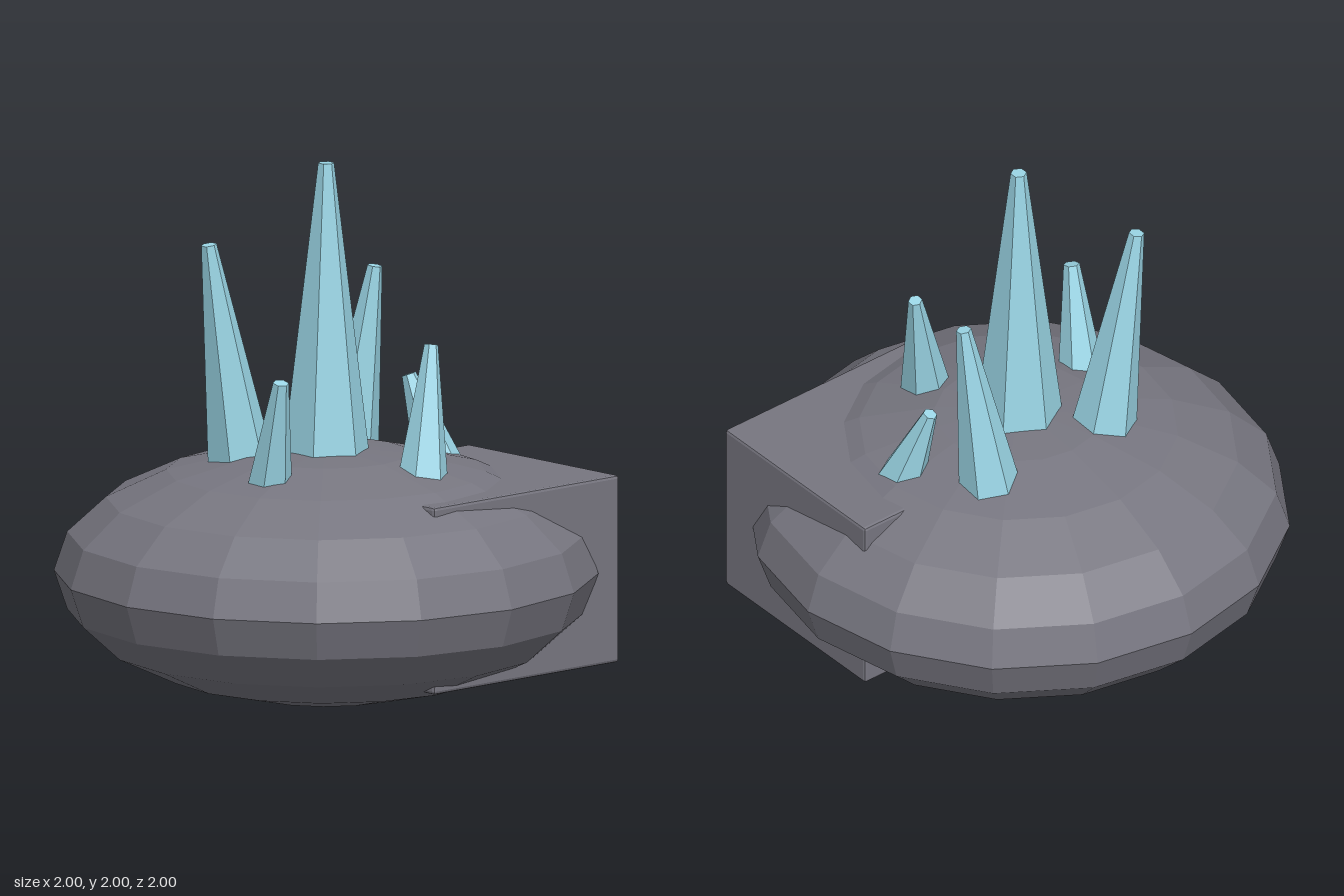
import * as THREE from 'three';
import { RoundedBoxGeometry } from 'three/addons/geometries/RoundedBoxGeometry.js';

const rockMaterial = new THREE.MeshStandardMaterial({ color: 0x777680, flatShading: true });
const crystalMaterial = new THREE.MeshStandardMaterial({ color: 0x9bd6e6, flatShading: true });

// Tapered six-sided crystal from a point on the rock surface to its tip
function makeCrystal(name, base, tip, baseRadius, tipRadius) {
  const start = new THREE.Vector3(...base);
  const end = new THREE.Vector3(...tip);
  const axis = end.clone().sub(start);
  const visible = axis.length();
  axis.normalize();

  // Continue the taper a little way into the rock
  const buried = 0.1;
  const length = visible + buried;
  const rootRadius = baseRadius + ((baseRadius - tipRadius) * buried) / visible;

  const crystal = new THREE.Mesh(new THREE.CylinderGeometry(tipRadius, rootRadius, length, 6), crystalMaterial);
  crystal.name = name;
  crystal.position.copy(end).addScaledVector(axis, -length / 2);
  crystal.quaternion.setFromUnitVectors(new THREE.Vector3(0, 1, 0), axis);
  return crystal;
}

export function createModel() {
  const model = new THREE.Group();
  model.name = 'crystalRock';

  // Flattened faceted boulder
  const boulder = new THREE.Mesh(new THREE.SphereGeometry(1, 16, 10), rockMaterial);
  boulder.name = 'boulder';
  boulder.scale.y = 0.468;
  boulder.position.y = 0.471;
  model.add(boulder);

  // Block set into the front left of the boulder, with a fine bevel
  const block = new THREE.Mesh(new RoundedBoxGeometry(0.93, 0.7, 0.81, 1, 0.012), rockMaterial);
  block.name = 'stoneBlock';
  block.position.set(0.355, 0.473, 0.295);
  model.add(block);

  // Crystal cluster: base, tip, base radius, tip radius
  const crystals = [
    ['centreCrystal', [0, 0.93, 0], [0, 2, 0], 0.16, 0.03],
    ['backRightCrystal', [-0.23, 0.91, -0.22], [-0.355, 1.705, -0.25], 0.12, 0.029],
    ['backLeftCrystal', [0.325, 0.89, -0.22], [0.38, 1.545, -0.145], 0.11, 0.028],
    ['frontCrystal', [0.125, 0.89, 0.39], [0.22, 1.338, 0.33], 0.09, 0.026],
    ['rightCrystal', [-0.395, 0.89, 0.125], [-0.432, 1.265, 0.22], 0.08, 0.03],
    ['leftCrystal', [0.497, 0.87, 0.045], [0.457, 1.143, -0.045], 0.08, 0.027],
  ];
  for (const spec of crystals) model.add(makeCrystal(...spec));

  return model;
}
